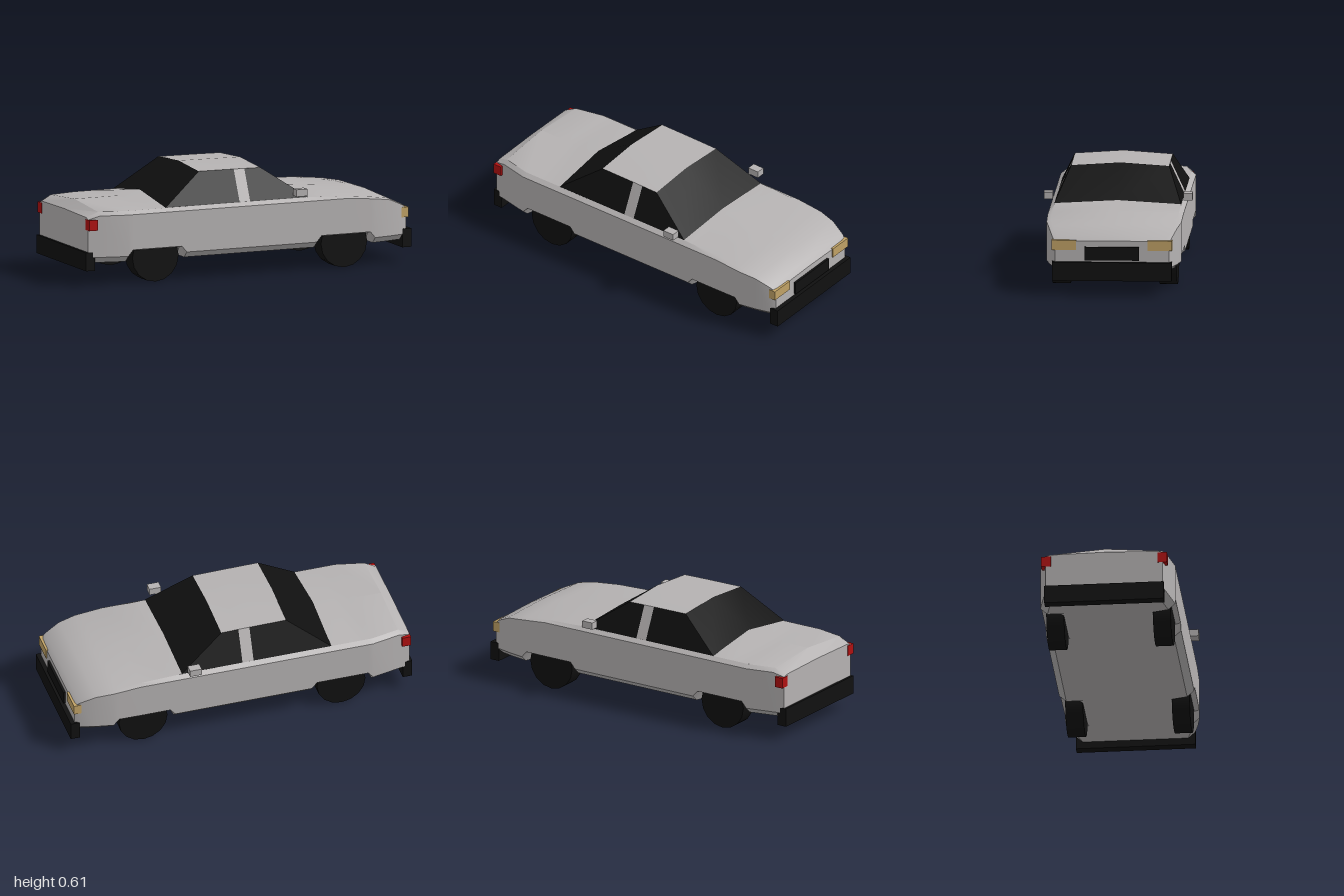
import * as THREE from 'three';
import { toCreasedNormals } from 'three/addons/utils/BufferGeometryUtils.js';

const mat = (name, color) => {
  const m = new THREE.MeshStandardMaterial({ color });
  m.name = name;
  return m;
};

// Skin between cross-sections along x; each section is a list of [z, y] points.
function loft(sections, { caps = false, keep = () => true } = {}) {
  const pos = [];
  const tri = (a, b, c) => {
    const area = new THREE.Triangle(a, b, c).getArea();
    if (area > 1e-7) [a, b, c].forEach((p) => pos.push(p.x, p.y, p.z));
  };
  const rings = sections.map(({ x, pts }) => pts.map(([z, y]) => new THREE.Vector3(x, y, z)));
  for (let i = 0; i < rings.length - 1; i++) {
    for (let j = 0; j < rings[i].length - 1; j++) {
      if (!keep(i, j)) continue;
      const [a, b, c, d] = [rings[i][j], rings[i + 1][j], rings[i + 1][j + 1], rings[i][j + 1]];
      tri(a, b, d);
      tri(b, c, d);
    }
  }
  if (caps) {
    const first = rings[0], last = rings[rings.length - 1];
    for (let j = 1; j < first.length - 2; j++) {
      tri(first[0], first[j], first[j + 1]);
      tri(last[0], last[j + 1], last[j]);
    }
  }
  const geo = new THREE.BufferGeometry();
  geo.setAttribute('position', new THREE.Float32BufferAttribute(pos, 3));
  return toCreasedNormals(geo, 0.45);
}

// Mirror a half section that ends on the centre line.
const mirrored = (half) => [...half, ...half.slice(0, -1).reverse().map(([z, y]) => [-z, y])];

export function createModel() {
  const car = new THREE.Group();
  car.name = 'car';
  const paint = mat('grey paint', 0xb5b2b2);
  const black = mat('black trim', 0x101010);
  const amber = mat('amber lamp', 0xc0a266);
  const red = mat('red lamp', 0xb01010);

  const add = (name, geo, material, x = 0, y = 0, z = 0) => {
    const mesh = new THREE.Mesh(geo, material);
    mesh.name = name;
    mesh.position.set(x, y, z);
    car.add(mesh);
    return mesh;
  };
  // Box from its limits on each axis
  const box = (name, material, [x0, x1], [y0, y1], [z0, z1]) =>
    add(name, new THREE.BoxGeometry(x1 - x0, y1 - y0, z1 - z0), material,
      (x0 + x1) / 2, (y0 + y1) / 2, (z0 + z1) / 2);

  // Body outline: x, half width, belt height, shoulder height, centre height
  const outline = [
    [-0.985, 0.33, 0.375, 0.385, 0.39],
    [-0.92, 0.345, 0.395, 0.415, 0.44],
    [-0.76, 0.38, 0.395, 0.415, 0.44],
    [-0.65, 0.38, 0.395, 0.415, 0.44],
    [-0.52, 0.38, 0.395, 0.415, 0.465],
    [0.35, 0.38, 0.395, 0.415, 0.435],
    [0.6, 0.38, 0.395, 0.405, 0.412],
    [0.76, 0.378, 0.38, 0.388, 0.394],
    [0.86, 0.36, 0.365, 0.371, 0.38],
    [0.95, 0.335, 0.325, 0.33, 0.338],
    [0.975, 0.32, 0.3, 0.306, 0.31],
  ];
  const wheelX = [-0.58, 0.58];
  const at = (x) => {
    const i = Math.max(1, outline.findIndex((s) => s[0] >= x));
    const [a, b] = [outline[i - 1], outline[i]];
    return a.map((v, k) => THREE.MathUtils.lerp(v, b[k], (x - a[0]) / (b[0] - a[0])));
  };
  const stations = new Set(outline.map((s) => s[0]));
  for (const w of wheelX) [-0.18, -0.15, 0.15, 0.18].forEach((d) => stations.add(+(w + d).toFixed(3)));

  // Body, with the lower edge lifted over each wheel
  const bodySections = [...stations].sort((a, b) => a - b).map((x) => {
    const [, w, belt, shoulder, crown] = at(x);
    const arch = wheelX.some((c) => Math.abs(x - c) < 0.16);
    const pts = mirrored([
      [0, 0.125], [0.24, 0.125], [w - 0.04, arch ? 0.185 : 0.125],
      [w, arch ? 0.195 : 0.16], [w, belt], [w - 0.025, shoulder], [0, crown],
    ]);
    return { x, pts };
  });
  add('body', loft(bodySections, { caps: true }), paint);

  // Cabin: x, edge half width, edge height, centre height
  const cabin = [
    [-0.52, 0.355, 0.416, 0.466], [-0.28, 0.275, 0.594, 0.613], [-0.065, 0.275, 0.592, 0.61],
    [0, 0.275, 0.591, 0.609], [0.1, 0.275, 0.589, 0.607], [0.355, 0.355, 0.416, 0.436],
  ].map(([x, z, edge, crown]) => ({ x, pts: mirrored([[0.356, 0.416], [z, edge], [0, crown]]) }));
  const isSide = (j) => j === 0 || j === 3;
  const isPaint = (i, j) => (isSide(j) ? i === 2 : i > 0 && i < 4);
  add('roofAndPillars', loft(cabin, { keep: isPaint }), paint);
  add('windows', loft(cabin, { keep: (i, j) => !isPaint(i, j) }), black);

  // Bumpers and grille
  box('frontBumper', black, [0.945, 1], [0.085, 0.19], [-0.336, 0.336]);
  box('rearBumper', black, [-1, -0.945], [0.085, 0.19], [-0.336, 0.336]);
  box('grille', black, [0.96, 0.988], [0.2, 0.275], [-0.153, 0.153]);

  // Wheels, lamps and mirrors on both sides
  const wheelGeo = new THREE.CylinderGeometry(0.142, 0.142, 0.1, 16).rotateX(Math.PI / 2);
  for (const [side, s] of [['left', 1], ['right', -1]]) {
    const span = (a, b) => (s > 0 ? [a, b] : [-b, -a]);
    add(side + 'RearWheel', wheelGeo, black, wheelX[0], 0.142, s * 0.3);
    add(side + 'FrontWheel', wheelGeo, black, wheelX[1], 0.142, s * 0.3);
    box(side + 'Headlamp', amber, [0.93, 0.982], [0.256, 0.313], span(0.2, 0.338));
    box(side + 'TailLamp', red, [-0.988, -0.937], [0.315, 0.375], span(0.3, 0.354));
    box(side + 'Mirror', paint, [0.257, 0.325], [0.433, 0.473], span(0.367, 0.417));
  }
  return car;
}
